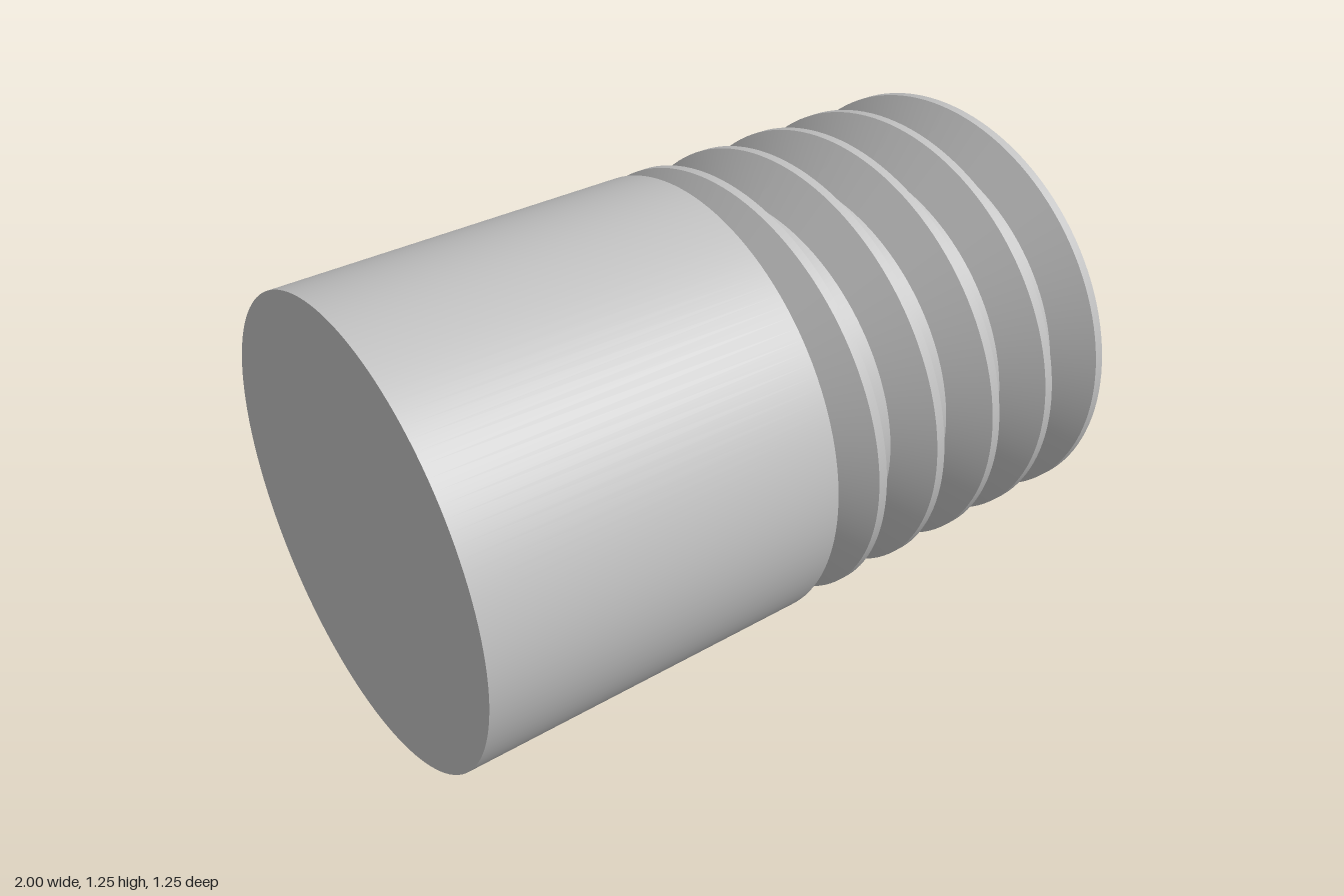
import * as THREE from 'three';

const R = 0.625;        // shank and thread crest radius
const PITCH = 0.2;
const DEPTH = 0.108;    // thread depth
const CREST = 0.0125;   // half width of the crest flat
const ROOT = 0.075;     // distance from crest centre to the root flat
const SEG = 128;

// Axial position of the first crest at angle t (from +y towards +z)
const crestAt = (t) => 0.1 + PITCH * t / (Math.PI * 2);

// Thread radius at axial position x and angle t
function threadRadius(x, t) {
  const u = (x - crestAt(t)) / PITCH;
  const d = Math.abs(u - Math.round(u)) * PITCH;
  return R - DEPTH * THREE.MathUtils.clamp((d - CREST) / (ROOT - CREST), 0, 1);
}

function point(x, t) {
  const r = threadRadius(x, t);
  return [x, r * Math.cos(t), r * Math.sin(t)];
}

function makeGeometry(positions, indices) {
  const g = new THREE.BufferGeometry();
  g.setAttribute('position', new THREE.Float32BufferAttribute(positions, 3));
  g.setIndex(indices);
  g.computeVertexNormals();
  return g;
}

// Helical bands, each with its own vertices so the thread edges stay sharp
function threadGeometry() {
  const positions = [], indices = [];
  const lines = [];
  for (let k = -3; k <= 6; k++) {
    for (const o of [-ROOT, -CREST, CREST, ROOT]) lines.push(k * PITCH + o);
  }
  for (let b = 0; b < lines.length - 1; b++) {
    const base = positions.length / 3;
    const widths = [];
    for (let i = 0; i <= SEG; i++) {
      const t = i / SEG * Math.PI * 2;
      const x0 = THREE.MathUtils.clamp(crestAt(t) + lines[b], 0, 1);
      const x1 = THREE.MathUtils.clamp(crestAt(t) + lines[b + 1], 0, 1);
      positions.push(...point(x0, t), ...point(x1, t));
      widths.push(x1 - x0);
    }
    for (let i = 0; i < SEG; i++) {
      const a = base + i * 2;
      if (widths[i] > 1e-6) indices.push(a, a + 2, a + 1);
      if (widths[i + 1] > 1e-6) indices.push(a + 2, a + 3, a + 1);
    }
  }
  return makeGeometry(positions, indices);
}

// Flat end cut through the thread
function endGeometry() {
  const positions = [1, 0, 0], indices = [];
  for (let i = 0; i <= SEG; i++) {
    positions.push(...point(1, i / SEG * Math.PI * 2));
    if (i < SEG) indices.push(0, i + 1, i + 2);
  }
  return makeGeometry(positions, indices);
}

export function createModel() {
  const group = new THREE.Group();
  group.name = 'threadedRod';
  const steel = new THREE.MeshStandardMaterial({ color: 0xc0c0c0 });
  steel.name = 'steel grey';

  const add = (name, geometry, x = 0) => {
    const mesh = new THREE.Mesh(geometry, steel);
    mesh.name = name;
    mesh.position.set(x, R, 0);
    group.add(mesh);
  };

  add('shank', new THREE.CylinderGeometry(R, R, 1, SEG).rotateZ(Math.PI / 2), -0.5);
  add('thread', threadGeometry());
  add('threadEnd', endGeometry());
  return group;
}
